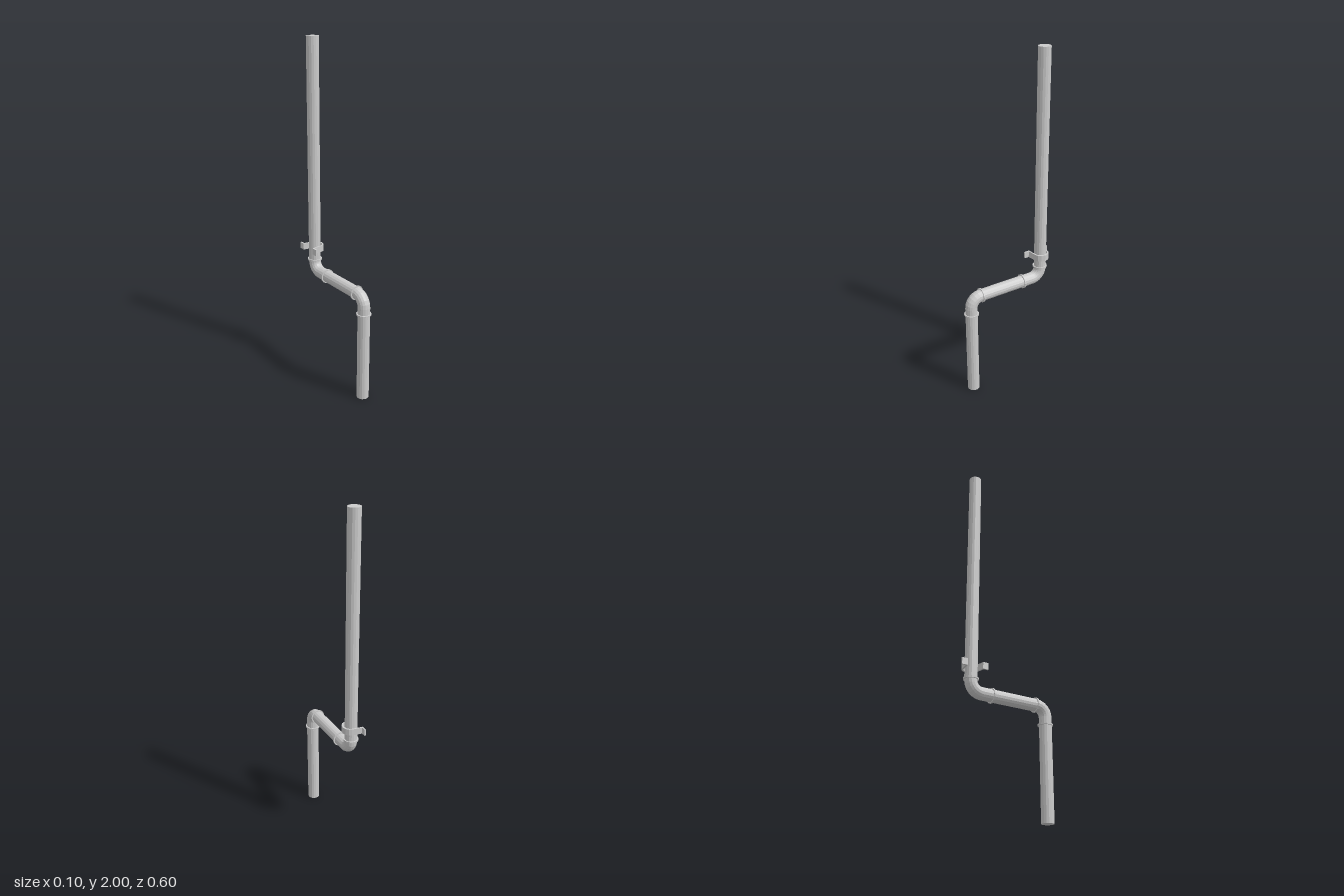
import * as THREE from 'three';

const SIDES = 16;
const R = 0.0355;        // pipe radius
const BEND = 0.062;      // elbow centreline radius
const X = -0.004;        // pipe centre in x
const Z_UP = -0.22, Z_LOW = 0.254, Y_MID = 0.636;

export function createModel() {
  const group = new THREE.Group();
  const mat = new THREE.MeshStandardMaterial({ color: 0xcccccc, flatShading: true });

  const add = (name, geo, x, y, z) => {
    const mesh = new THREE.Mesh(geo, mat);
    mesh.name = name;
    mesh.position.set(x, y, z);
    group.add(mesh);
    return mesh;
  };
  const cylinder = (name, r, length, y, z, alongZ = false) => {
    const geo = new THREE.CylinderGeometry(r, r, length, SIDES);
    if (alongZ) geo.rotateX(Math.PI / 2);
    return add(name, geo, X, y, z);
  };

  // Straight pipe runs
  const lowTop = Y_MID - BEND, upBottom = Y_MID + BEND;
  cylinder('lowerPipe', R, lowTop, lowTop / 2, Z_LOW);
  cylinder('upperPipe', R, 2 - upBottom, (2 + upBottom) / 2, Z_UP);
  cylinder('crossPipe', R, Z_LOW - Z_UP - 2 * BEND, Y_MID, (Z_LOW + Z_UP) / 2, true);

  // Quarter-turn elbows
  const elbow = () => new THREE.TorusGeometry(BEND, R, SIDES, 6, Math.PI / 2).rotateY(-Math.PI / 2);
  add('lowerElbow', elbow(), X, lowTop, Z_LOW - BEND);
  add('upperElbow', elbow().rotateX(Math.PI), X, upBottom, Z_UP + BEND);

  // Joint collars
  cylinder('collar', 0.0425, 0.009, 0.532, Z_LOW);
  cylinder('collar', 0.0425, 0.009, 0.706, Z_UP);
  cylinder('collar', 0.0425, 0.009, Y_MID, 0.187, true);
  cylinder('collar', 0.0425, 0.009, Y_MID, -0.093, true);

  // Wall clamp: a bent strap with two end flanges, mirrored about the pipe axis
  const outer = [[-0.043, 0.08], [-0.043, 0.0535], [0.016, 0.0445], [0.03, 0.039], [0.043, 0.023]];
  const inner = [[0.034, 0.019], [0.025, 0.031], [0.012, 0.037], [-0.052, 0.0465], [-0.052, 0.08]];
  const mirror = (pts) => pts.map(([x, y]) => [x, -y]).reverse();
  const outline = [
    ...outer, [0.05, 0], ...mirror(outer),
    ...mirror(inner), [0.039, 0], ...inner,
  ].map(([x, y]) => new THREE.Vector2(x, y));
  const strap = new THREE.ExtrudeGeometry(new THREE.Shape(outline), { depth: 0.038, bevelEnabled: false });
  add('wallClamp', strap.rotateX(-Math.PI / 2), 0, 0.759, Z_UP);

  return group;
}
